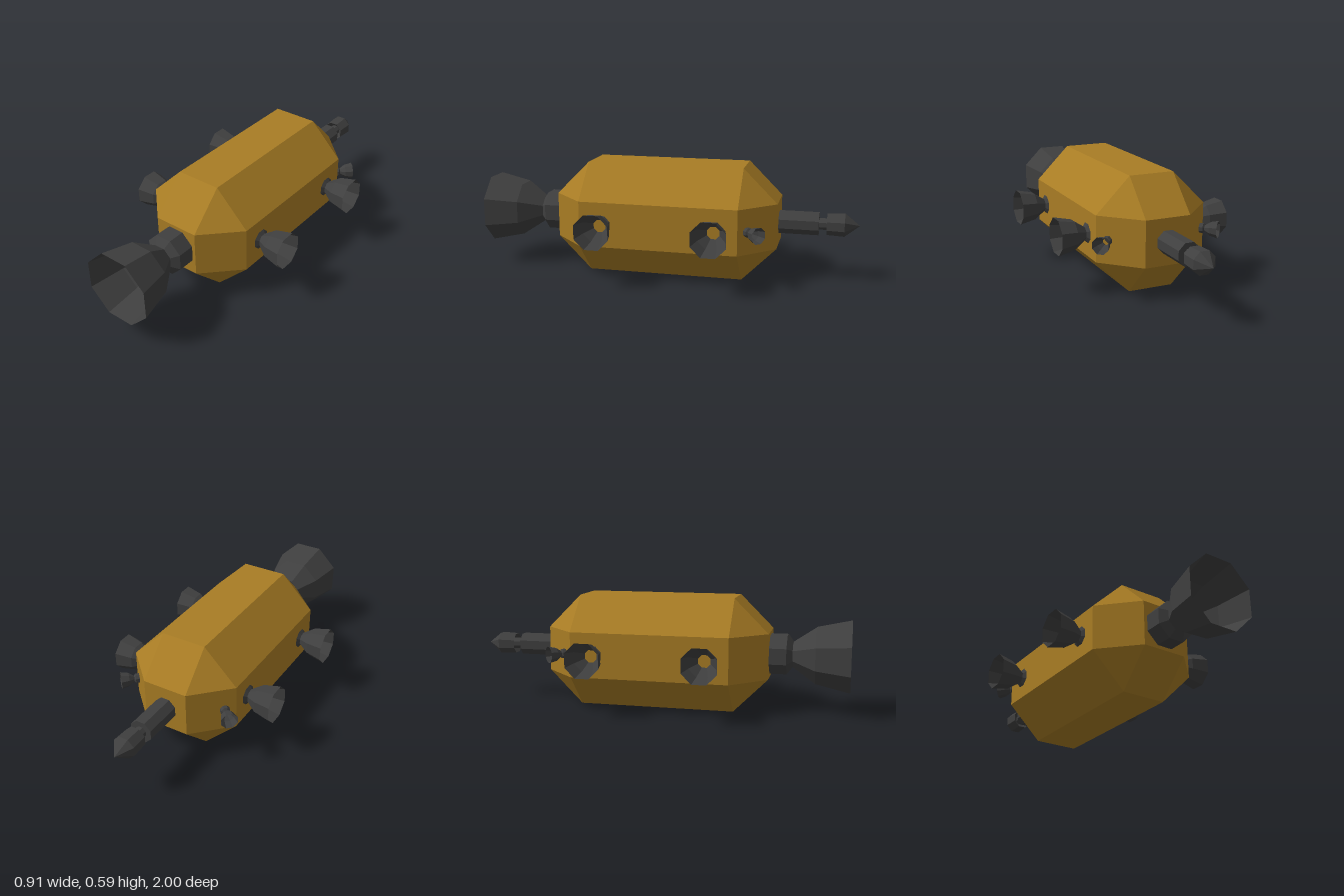
import * as THREE from 'three';
import { ConvexGeometry } from 'three/addons/geometries/ConvexGeometry.js';

const MID = 0.295; // height of the long axis
const UP = new THREE.Vector3(0, 1, 0);

// Eight-sided faceted turning; profile is [flat-to-centre radius, distance along axis]
function octagonLathe(profile) {
  const points = profile.map(([r, y]) => new THREE.Vector2(r / Math.cos(Math.PI / 8), y));
  const geometry = new THREE.LatheGeometry(points, 8, Math.PI / 8).toNonIndexed();
  geometry.computeVertexNormals();
  return geometry;
}

export function createModel() {
  const gold = new THREE.MeshStandardMaterial({ color: 0xa87c24 });
  gold.name = 'gold foil';
  const grey = new THREE.MeshStandardMaterial({ color: 0x3f3f3f, side: THREE.DoubleSide });
  grey.name = 'dark grey metal';

  const model = new THREE.Group();
  model.name = 'spacecraft';

  function add(name, geometry, material, position, direction) {
    const mesh = new THREE.Mesh(geometry, material);
    mesh.name = name;
    mesh.position.set(...position);
    if (direction) mesh.quaternion.setFromUnitVectors(UP, new THREE.Vector3(...direction).normalize());
    model.add(mesh);
    return mesh;
  }

  // Hull: long octagonal body with bevelled ends closing to a square
  const corners = [];
  for (const x of [-1, 1]) for (const y of [-1, 1]) for (const z of [-1, 1]) {
    for (const [a, b, c] of [[0.295, 0.118, 0.412], [0.118, 0.295, 0.412], [0.118, 0.118, 0.589]]) {
      corners.push(new THREE.Vector3(x * a, y * b, z * c));
    }
  }
  add('hull', new ConvexGeometry(corners), gold, [0, MID, 0]);

  // Open nozzle shared by every engine: collar, throat and bell
  const nozzle = octagonLathe([[0.1, 0], [0.1, 0.088], [0.063, 0.117], [0.14, 0.235], [0.177, 0.411]]);
  add('mainEngine', nozzle, grey, [0, MID, 0.589], [0, 0, 1]);

  for (const side of [-1, 1]) {
    const label = side > 0 ? 'left' : 'right';
    for (const z of [0.295, -0.295]) {
      const thruster = add(label + (z > 0 ? 'FrontThruster' : 'RearThruster'), nozzle, grey,
        [side * 0.25, MID, z], [side, 0, 0]);
      thruster.scale.setScalar(0.5);
    }
    // Small thruster on the rear bevel
    const small = add(label + 'SmallThruster', nozzle, grey, [side * 0.253, MID, -0.453], [side, 0, -1]);
    small.scale.setScalar(0.23);
  }

  // Docking probe: sleeve, thin neck and barbed tip
  add('dockingProbe', octagonLathe([
    [0.056, 0], [0.056, 0.205], [0.028, 0.205], [0.028, 0.27],
    [0.052, 0.245], [0.056, 0.335], [0, 0.411],
  ]), grey, [0, MID, -0.589], [0, 0, -1]);

  return model;
}
